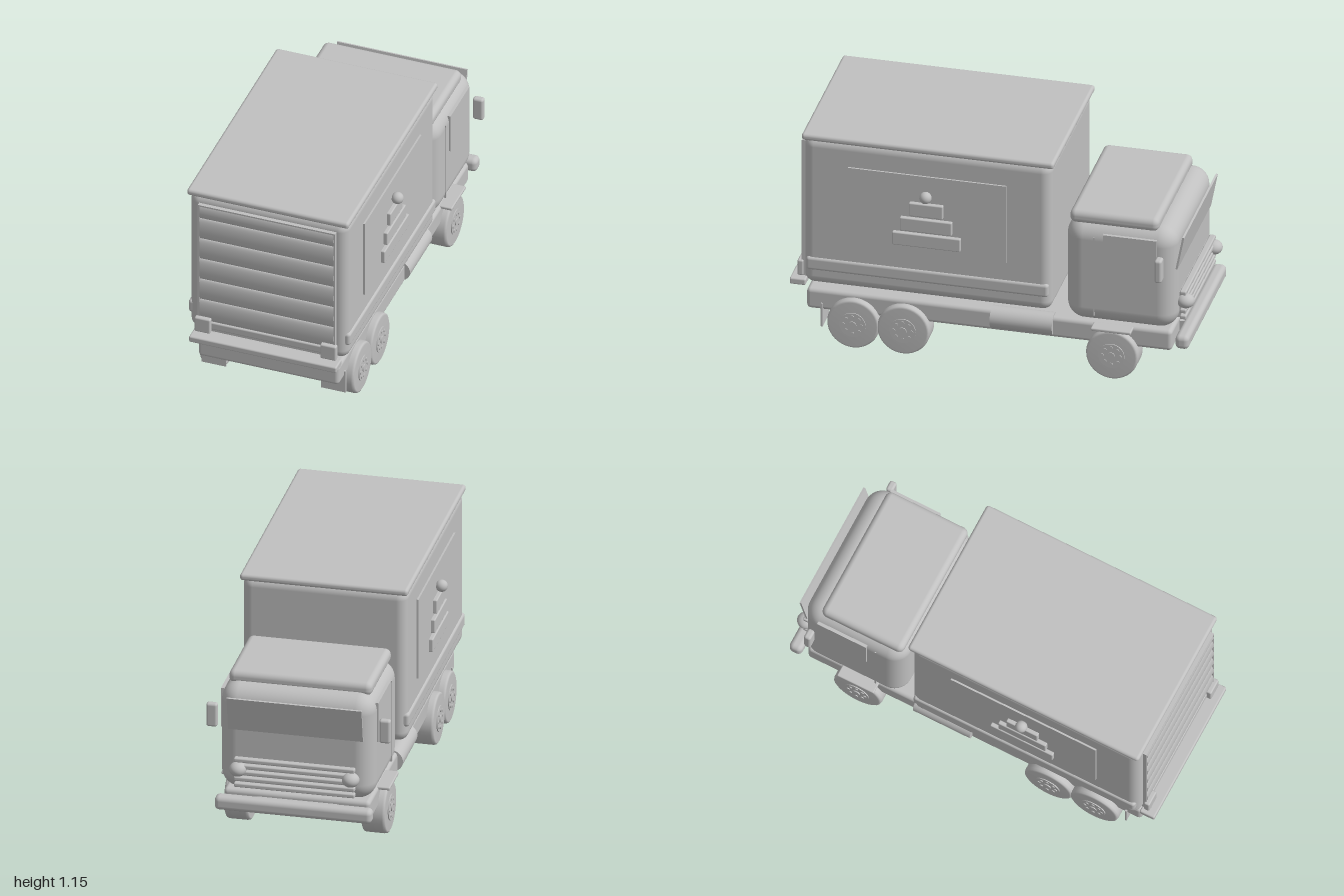
import * as THREE from 'three';
import { RoundedBoxGeometry } from 'three/addons/geometries/RoundedBoxGeometry.js';

const paint = new THREE.MeshStandardMaterial({ color: 0xc0c0c0 });
paint.name = 'plainGrey';

export function createModel() {
  const truck = new THREE.Group();
  truck.name = 'deliveryTruck';

  const add = (name, geometry, x, y, z) => {
    const mesh = new THREE.Mesh(geometry, paint);
    mesh.name = name;
    mesh.position.set(x, y, z);
    truck.add(mesh);
    return mesh;
  };
  // Box given by its limits on each axis, optionally rounded
  const block = (name, [x0, x1], [y0, y1], [z0, z1], r = 0, seg = 4) => {
    const size = [x1 - x0, y1 - y0, z1 - z0];
    const geometry = r ? new RoundedBoxGeometry(...size, seg, r) : new THREE.BoxGeometry(...size);
    return add(name, geometry, (x0 + x1) / 2, (y0 + y1) / 2, (z0 + z1) / 2);
  };
  // The same box on both sides
  const pair = (name, [x0, x1], y, z, r, seg) => {
    block(name + 'Left', [x0, x1], y, z, r, seg);
    block(name + 'Right', [-x1, -x0], y, z, r, seg);
  };

  // Chassis and cargo body
  block('chassis', [-0.363, 0.363], [0.17, 0.28], [-0.9, 0.92], 0.02);
  block('cargoBody', [-0.408, 0.408], [0.33, 1.135], [-0.31, 0.925], 0.05, 6);
  block('cargoRoof', [-0.417, 0.417], [1.12, 1.155], [-0.325, 0.932], 0.015);

  // Roller door with bulging slats
  block('doorPanel', [-0.35, 0.35], [0.345, 1.085], [0.9, 0.932]);
  const edges = [1.085, 1.005, 0.885, 0.765, 0.645, 0.525, 0.405];
  for (let i = 0; i < edges.length - 1; i++) {
    const slat = new THREE.CylinderGeometry(1, 1, 0.69, 32);
    slat.rotateZ(Math.PI / 2);
    slat.scale(1, (edges[i] - edges[i + 1]) / 2, 0.015);
    add('doorSlat', slat, 0, (edges[i] + edges[i + 1]) / 2, 0.931);
  }
  block('doorFoot', [-0.35, 0.35], [0.36, 0.402], [0.92, 0.942], 0.008);
  for (const s of [-1, 1]) block('doorRail', [s * 0.35 - 0.004, s * 0.35 + 0.004], [0.345, 1.085], [0.92, 0.945]);
  block('doorHeader', [-0.354, 0.354], [1.08, 1.088], [0.92, 0.945]);

  // Step, tail lamps and mudflaps
  block('rearStep', [-0.38, 0.38], [0.302, 0.336], [0.92, 1.0], 0.008);
  pair('tailLamp', [0.283, 0.365], [0.347, 0.43], [0.935, 0.965], 0.008);
  pair('mudflap', [0.245, 0.372], [0.085, 0.21], [0.836, 0.846]);

  // Trim along the body sides
  pair('sidePanel', [0.4, 0.417], [0.58, 1.0], [-0.09, 0.7]);
  pair('sideRail', [0.378, 0.417], [0.412, 0.482], [-0.297, 0.91], 0.015);

  // Tiered cake ornament on each side panel
  pair('cakeBottomTier', [0.405, 0.437], [0.618, 0.688], [0.135, 0.475], 0.006);
  pair('cakeMiddleTier', [0.405, 0.437], [0.7, 0.772], [0.178, 0.437], 0.006);
  pair('cakeTopTier', [0.405, 0.437], [0.785, 0.857], [0.222, 0.392], 0.006);
  for (const s of [-1, 1]) add('cakeCherry', new THREE.SphereGeometry(0.03, 24, 16), s * 0.44, 0.898, 0.307);

  // Cab
  block('cab', [-0.383, 0.383], [0.28, 0.83], [-0.922, -0.37], 0.09, 8);
  block('cabRoof', [-0.355, 0.355], [0.807, 0.877], [-0.832, -0.388], 0.03);
  pair('sideWindow', [0.375, 0.391], [0.575, 0.782], [-0.832, -0.565]);
  pair('doorSeam', [0.375, 0.386], [0.33, 0.76], [-0.522, -0.514]);
  pair('wingMirror', [0.402, 0.457], [0.587, 0.71], [-0.872, -0.836], 0.012);
  const windscreen = block('windscreen', [-0.335, 0.335], [0.61, 0.79], [-0.94, -0.93]);
  windscreen.rotation.x = -0.19;

  // Grille and headlamps
  block('grilleBack', [-0.29, 0.29], [0.325, 0.465], [-0.93, -0.9]);
  for (let i = 0; i < 5; i++) {
    const y = 0.33 + i * 0.033;
    block('grilleBar', [-0.3, 0.3], [y - 0.011, y + 0.011], [-0.957, -0.925], 0.007, 2);
  }
  for (const s of [-1, 1]) {
    const lamp = add('headlamp', new THREE.SphereGeometry(1, 24, 16), s * 0.28, 0.415, -0.95);
    lamp.scale.set(0.043, 0.036, 0.044);
  }
  block('frontBumper', [-0.39, 0.39], [0.2, 0.272], [-0.99, -0.922], 0.024);
  block('bumperMount', [-0.2, 0.2], [0.205, 0.255], [-0.94, -0.88]);

  // Front wheel guards and side tanks
  pair('wheelGuard', [0.25, 0.418], [0.262, 0.278], [-0.71, -0.51], 0.006, 2);
  for (const s of [-1, 1]) {
    const tank = new THREE.CylinderGeometry(0.056, 0.056, 0.31, 28);
    add('sideTank', tank.rotateX(Math.PI / 2), s * 0.335, 0.233, -0.155);
  }

  // Wheels: tyre, hub disc and a ring of bolts, axis along x
  const tyreProfile = [[0, -0.06], [0.118, -0.06], [0.127, -0.055], [0.13, -0.045],
    [0.13, 0.045], [0.127, 0.055], [0.118, 0.06], [0, 0.06]].map(p => new THREE.Vector2(...p));
  const part = (group, name, geometry, x, y = 0, z = 0) => {
    const mesh = new THREE.Mesh(geometry.rotateZ(-Math.PI / 2), paint);
    mesh.name = name;
    mesh.position.set(x, y, z);
    group.add(mesh);
  };
  for (const z of [0.68, 0.43, -0.61]) for (const s of [-1, 1]) {
    const wheel = new THREE.Group();
    wheel.name = s > 0 ? 'wheelLeft' : 'wheelRight';
    part(wheel, 'tyre', new THREE.LatheGeometry(tyreProfile, 40), 0);
    part(wheel, 'hub', new THREE.CylinderGeometry(0.065, 0.065, 0.01, 28), 0.06);
    part(wheel, 'hubCap', new THREE.CylinderGeometry(0.02, 0.02, 0.008, 16), 0.066);
    for (let i = 0; i < 8; i++) {
      const a = (i / 8) * Math.PI * 2;
      part(wheel, 'bolt', new THREE.CylinderGeometry(0.009, 0.009, 0.006, 10), 0.066, 0.045 * Math.cos(a), 0.045 * Math.sin(a));
    }
    wheel.position.set(s * 0.34, 0.13, z);
    if (s < 0) wheel.rotation.y = Math.PI;
    truck.add(wheel);
  }
  return truck;
}
